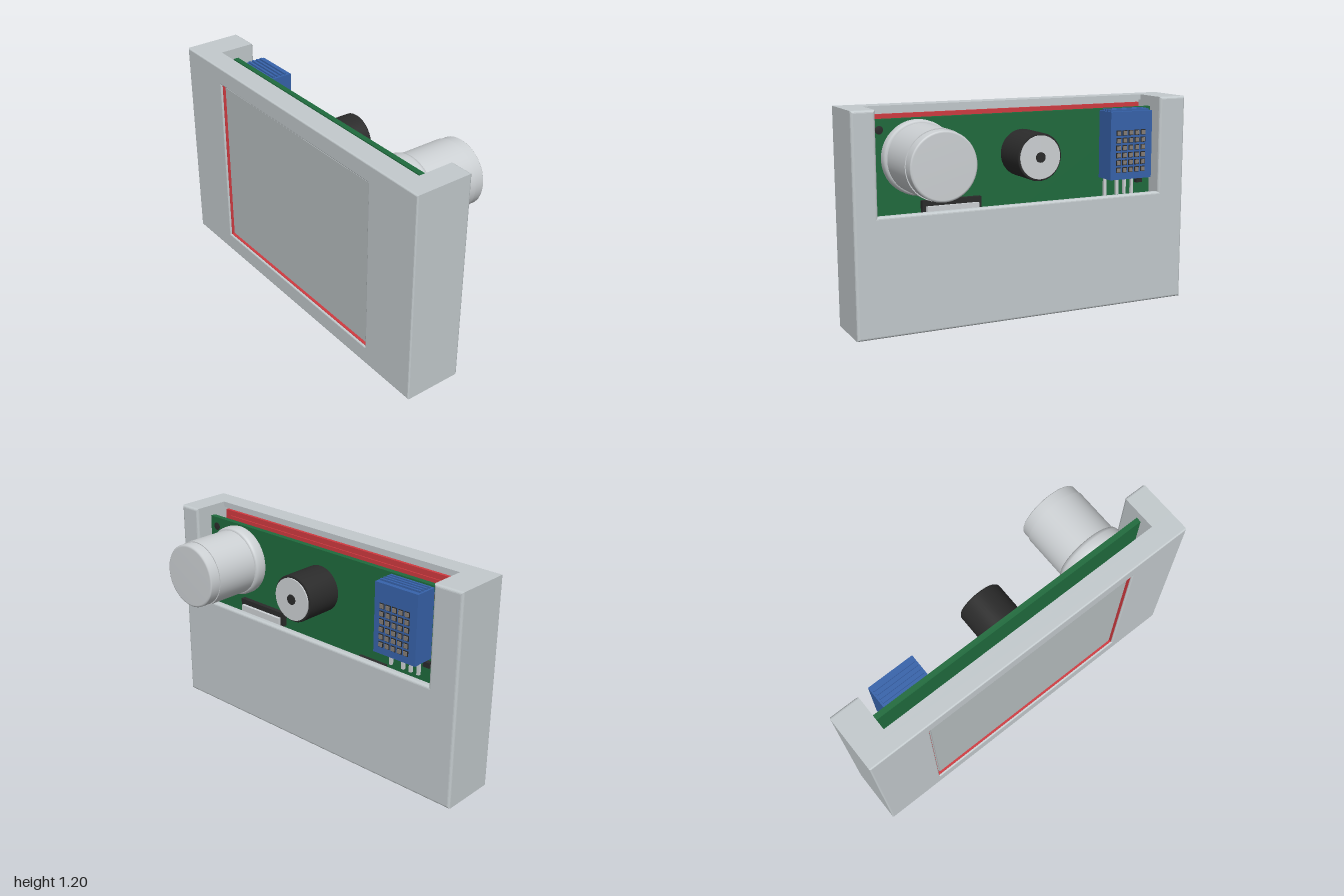
import * as THREE from 'three';

const mat = (name, color) => {
  const m = new THREE.MeshStandardMaterial({ color });
  m.name = name;
  return m;
};

export function createModel() {
  const shell = mat('case grey', 0xc3cacd);
  const glass = mat('screen grey', 0xb6bdbf);
  const green = mat('board green', 0x1f6b3d);
  const red = mat('display board red', 0xd03a40);
  const blue = mat('sensor blue', 0x3763ab);
  const black = mat('component black', 0x2b2b2b);
  const silver = mat('metal light grey', 0xcdd1d4);
  const taupe = mat('grille taupe', 0x857d76);

  const root = new THREE.Group();
  root.name = 'wallUnit';

  const add = (parent, name, geo, m) => {
    const mesh = new THREE.Mesh(geo, m);
    mesh.name = name;
    parent.add(mesh);
    return mesh;
  };
  const group = (name) => {
    const g = new THREE.Group();
    g.name = name;
    root.add(g);
    return g;
  };
  // Box given by its limits
  const box = (parent, name, m, x0, x1, y0, y1, z0, z1) => {
    const mesh = add(parent, name, new THREE.BoxGeometry(x1 - x0, y1 - y0, z1 - z0), m);
    mesh.position.set((x0 + x1) / 2, (y0 + y1) / 2, (z0 + z1) / 2);
    return mesh;
  };
  const poly = (Kind, pts) => new Kind(pts.map(([x, y]) => new THREE.Vector2(x, y)));
  const rect = (Kind, x0, x1, y0, y1) => poly(Kind, [[x0, y0], [x1, y0], [x1, y1], [x0, y1]]);
  // Slab between two z values, with optional rounded rims
  const slab = (shape, z0, z1, bevel = 0) => {
    const geo = new THREE.ExtrudeGeometry(shape, {
      depth: z1 - z0 - 2 * bevel,
      bevelEnabled: bevel > 0,
      bevelSize: bevel, bevelThickness: bevel, bevelOffset: -bevel, bevelSegments: 4,
    });
    return geo.translate(0, 0, z0 + bevel);
  };
  // Turned part whose axis points to the back
  const turned = (parent, name, m, profile, x, y, z) => {
    const geo = new THREE.LatheGeometry(profile.map(([r, h]) => new THREE.Vector2(r, h)), 48);
    geo.rotateX(-Math.PI / 2);
    const mesh = add(parent, name, geo, m);
    mesh.position.set(x, y, z);
    return mesh;
  };

  // Case: framed front, pocket for the display, open-topped body and low back wall
  const L = -0.83, R = 0.87;
  const housing = group('case');
  const front = rect(THREE.Shape, -1, 1, 0, 1.2);
  front.holes.push(rect(THREE.Path, -0.655, 0.65, 0.105, 1.1));
  add(housing, 'frontFrame', slab(front, 0.215, 0.31, 0.008), shell);
  const pocket = rect(THREE.Shape, -1, 1, 0, 1.2);
  pocket.holes.push(rect(THREE.Path, L, R, 0.05, 1.17));
  add(housing, 'displayPocket', slab(pocket, 0.19, 0.235), shell);
  const notched = (floor) => poly(THREE.Shape, [
    [-1, 0], [1, 0], [1, 1.2], [R, 1.2], [R, floor], [L, floor], [L, 1.2], [-1, 1.2]]);
  add(housing, 'body', slab(notched(0.05), 0.01, 0.19), shell);
  add(housing, 'backWall', slab(notched(0.65), -0.02, 0.025, 0.014), shell);

  // Display: red board, raised strip, thin edge and glass
  const display = group('display');
  box(display, 'displayBoard', red, L + 0.01, R - 0.01, 0.06, 1.155, 0.197, 0.222);
  box(display, 'displayBoardStrip', red, L + 0.05, R - 0.05, 0.1, 1.125, 0.19, 0.2);
  const edge = rect(THREE.Shape, -0.656, 0.651, 0.104, 1.101);
  edge.holes.push(rect(THREE.Path, -0.652, 0.647, 0.108, 1.097));
  add(display, 'displayEdge', slab(edge, 0.23, 0.3), red);
  box(display, 'screenBorder', glass, -0.652, 0.647, 0.108, 1.097, 0.222, 0.284);
  box(display, 'screen', glass, -0.638, 0.633, 0.122, 1.083, 0.24, 0.29);

  // Main board with mounting holes
  const board = group('mainBoard');
  box(board, 'circuitBoard', green, L, R, 0.06, 1.14, 0.085, 0.115);
  for (const x of [L + 0.05, R - 0.05]) {
    turned(board, 'mountingHole', black, [[0.022, 0], [0.022, 0.003], [0, 0.003]], x, 1.085, 0.085);
  }
  box(board, 'rightChip', black, -0.48, -0.3, 0.5, 0.62, 0.058, 0.086);
  box(board, 'leftChip', black, 0.26, 0.6, 0.62, 0.7, 0.058, 0.086);
  box(board, 'leftChipCover', silver, 0.28, 0.58, 0.62, 0.67, 0.04, 0.06);
  box(board, 'rightConnector', silver, L + 0.01, -0.52, 0.7, 0.78, 0.115, 0.135);
  for (const x of [-0.73, -0.65, -0.58, -0.06, 0.05, 0.49, 0.62, 0.74]) {
    box(board, 'solderPin', silver, x - 0.006, x + 0.006, 0.92, 0.93, 0.11, 0.185);
  }
  for (const [x, w] of [[0.11, 0.03], [0.22, 0.11], [0.33, 0.03], [0.4, 0.02]]) {
    box(board, 'displayChip', black, x - w / 2, x + w / 2, 0.8, 0.9, 0.168, 0.192);
  }

  // Gas sensor: rounded flange, barrel and end cap
  const gas = group('gasSensor');
  turned(gas, 'gasSensorFlange', silver,
    [[0.195, 0], [0.2, 0.015], [0.2, 0.05], [0.195, 0.066], [0.183, 0.075], [0, 0.075]], 0.618, 0.935, 0.085);
  turned(gas, 'gasSensorBarrel', silver,
    [[0.185, 0], [0.185, 0.325], [0.185, 0.325], [0, 0.325]], 0.618, 0.935, 0.075);
  turned(gas, 'gasSensorCap', silver,
    [[0.18, 0], [0.18, 0.062], [0.176, 0.067], [0.168, 0.07], [0, 0.07]], 0.618, 0.935, -0.242);

  // Buzzer with pale end plate and sound hole
  const buzzer = group('buzzer');
  turned(buzzer, 'buzzerBody', black,
    [[0.13, 0], [0.13, 0.21], [0.125, 0.217], [0, 0.217]], 0, 0.92, 0.085);
  turned(buzzer, 'buzzerPlate', silver,
    [[0.118, 0], [0.118, 0.008], [0.118, 0.008], [0, 0.008]], 0, 0.92, -0.131);
  turned(buzzer, 'buzzerHole', black,
    [[0.028, 0], [0.028, 0.006], [0.028, 0.006], [0, 0.006]], 0, 0.92, -0.138);

  // Humidity sensor with grille and legs
  const humidity = group('humiditySensor');
  box(humidity, 'humiditySensorBody', blue, -0.76, -0.49, 0.745, 1.13, -0.045, 0.085);
  for (let i = 0; i < 5; i++) {
    const x = -0.7 + i * 0.04;
    for (let j = 0; j < 6; j++) {
      const y = 0.8 + j * 0.042;
      box(humidity, 'grilleFrame', black, x - 0.015, x + 0.015, y - 0.015, y + 0.015, -0.049, -0.04);
      box(humidity, 'grilleStud', taupe, x - 0.011, x + 0.011, y - 0.011, y + 0.011, -0.054, -0.04);
    }
    if (i < 4) {
      const z = -0.02 + i * 0.025;
      box(humidity, 'topRib', blue, -0.75, -0.5, 1.12, 1.14, z, z + 0.012);
    }
  }
  for (const x of [-0.7, -0.65, -0.6, -0.52]) {
    box(humidity, 'sensorLeg', silver, x - 0.008, x + 0.008, 0.64, 0.75, 0.06, 0.076);
  }
  box(humidity, 'sensorResistor', black, -0.77, -0.73, 0.7, 0.73, 0.06, 0.085);

  return root;
}
